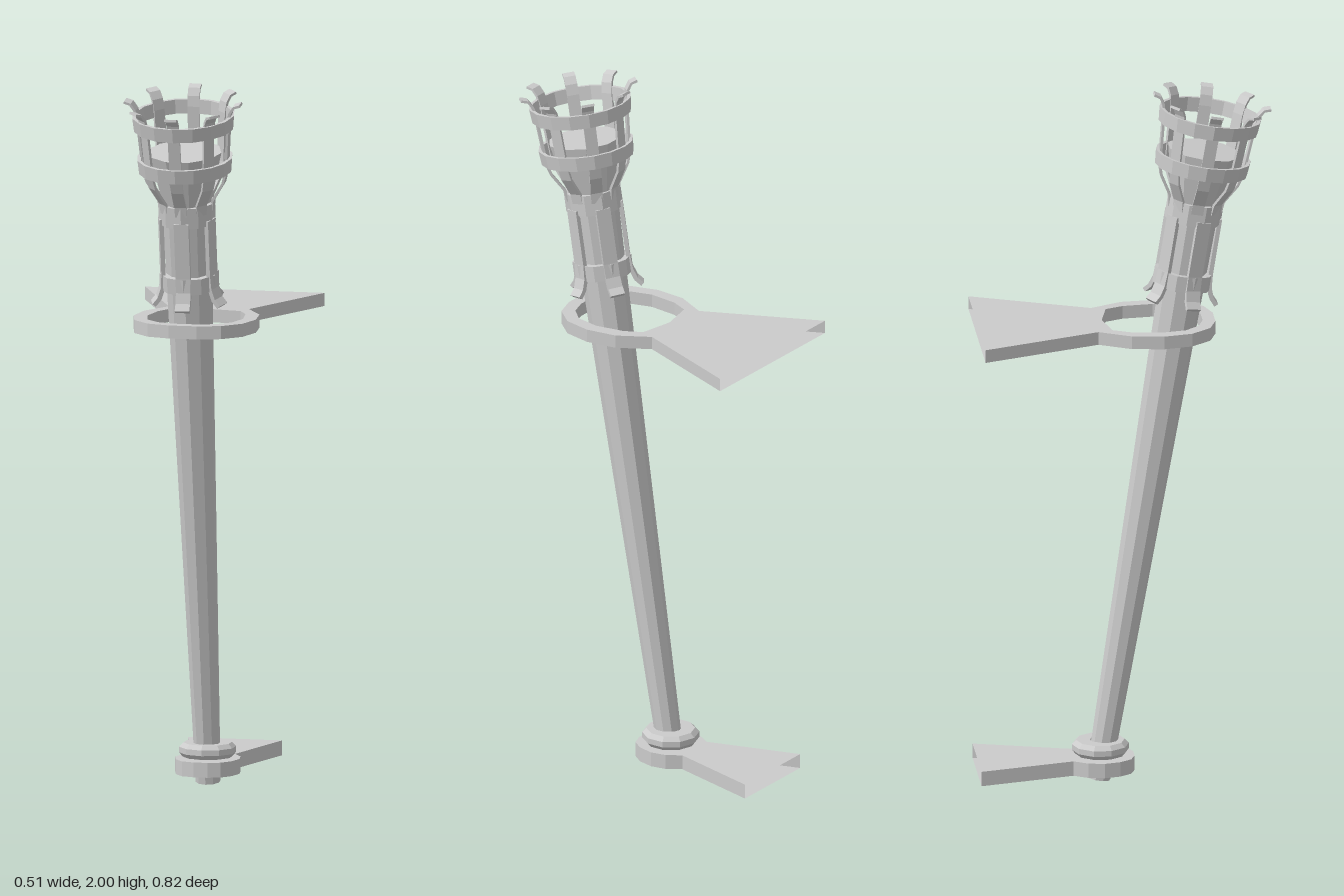
import * as THREE from 'three';

const mat = new THREE.MeshStandardMaterial({ color: 0xcccccc, flatShading: true, side: THREE.DoubleSide });

function add(parent, name, geometry) {
  const mesh = new THREE.Mesh(geometry, mat);
  mesh.name = name;
  parent.add(mesh);
  return mesh;
}

// Hoop with a rectangular section around the y axis
function hoop(rBottom, rTop, y, height, thick, sides) {
  const h = height / 2;
  const pts = [[rBottom - thick, y - h], [rBottom, y - h], [rTop, y + h], [rTop - thick, y + h], [rBottom - thick, y - h]];
  return new THREE.LatheGeometry(pts.map(p => new THREE.Vector2(...p)), sides);
}

// Bent flat strip that follows a [radius, height] profile, facing +z
function strap(profile, width, thick) {
  const pts = profile.map(p => new THREE.Vector2(...p));
  const inner = pts.map((p, i) => {
    const d = pts[Math.min(i + 1, pts.length - 1)].clone().sub(pts[Math.max(i - 1, 0)]).normalize();
    return new THREE.Vector2(p.x - d.y * thick, p.y + d.x * thick);
  });
  const geo = new THREE.ExtrudeGeometry(new THREE.Shape([...pts, ...inner.reverse()]), { depth: width, bevelEnabled: false });
  return geo.translate(0, 0, -width / 2).rotateY(-Math.PI / 2);
}

// Closed symmetric outline from its [x, z] half, back to front
function mirrored(half) {
  const right = half.map(([x, z]) => new THREE.Vector2(x, -z));
  const left = half.filter(p => p[0] > 0).map(([x, z]) => new THREE.Vector2(-x, -z)).reverse();
  return [...right, ...left];
}

// Horizontal wall plate with an eye; the end against the wall is open
function bracket(outer, hole, y, height) {
  const shape = new THREE.Shape(mirrored(outer));
  shape.holes.push(new THREE.Path(mirrored(hole)));
  const geo = new THREE.ExtrudeGeometry(shape, { depth: height, bevelEnabled: false })
    .rotateX(-Math.PI / 2).translate(0, y, 0);
  const src = geo.attributes.position, kept = [];
  for (let i = 0; i < src.count; i += 3) {
    if ([0, 1, 2].every(k => src.getZ(i + k) < -0.405)) continue;
    for (let k = 0; k < 3; k++) kept.push(src.getX(i + k), src.getY(i + k), src.getZ(i + k));
  }
  const open = new THREE.BufferGeometry();
  open.setAttribute('position', new THREE.Float32BufferAttribute(kept, 3));
  open.computeVertexNormals();
  return open;
}

export function createModel() {
  const model = new THREE.Group();
  model.name = 'wallTorch';

  // Everything on the leaning shaft
  const torch = new THREE.Group();
  torch.name = 'torch';
  torch.position.set(0, 0.007, -0.07);
  torch.rotation.x = THREE.MathUtils.degToRad(9.25);
  model.add(torch);

  add(torch, 'shaft', new THREE.CylinderGeometry(0.069, 0.035, 1.7, 10).translate(0, 0.85, 0));
  add(torch, 'head', new THREE.CylinderGeometry(0.105, 0.069, 0.15, 10).translate(0, 1.775, 0))
    .rotation.y = Math.PI / 10;

  // Collar: two bands joined by five straps with flared tails
  const collar = new THREE.Group();
  collar.name = 'collar';
  torch.add(collar);
  add(collar, 'lowerBand', hoop(0.083, 0.083, 1.475, 0.045, 0.02, 10));
  add(collar, 'upperBand', hoop(0.08, 0.08, 1.675, 0.06, 0.014, 10));
  const tail = strap([[0.108, 1.415], [0.093, 1.432], [0.083, 1.46], [0.08, 1.5], [0.08, 1.66]], 0.042, 0.012);
  for (let i = 0; i < 5; i++) add(collar, 'collarStrap', tail).rotation.y = i * Math.PI * 2 / 5;

  // Basket: two hoops and eight prongs that curl outward
  const basket = new THREE.Group();
  basket.name = 'basket';
  torch.add(basket);
  add(basket, 'lowerHoop', hoop(0.131, 0.135, 1.815, 0.04, 0.01, 16));
  add(basket, 'upperHoop', hoop(0.141, 0.145, 1.94, 0.04, 0.01, 16));
  const prong = strap([[0.076, 1.68], [0.08, 1.71], [0.112, 1.762], [0.122, 1.8], [0.133, 1.94],
    [0.139, 1.968], [0.15, 1.985], [0.167, 1.99]], 0.034, 0.007);
  for (let i = 0; i < 8; i++) add(basket, 'prong', prong).rotation.y = i * Math.PI / 4;

  // Wall brackets
  add(model, 'upperBracket', bracket(
    [[0.257, -0.41], [0.115, -0.08], [0.165, 0.01], [0.175, 0.1], [0.155, 0.18], [0.105, 0.235], [0.04, 0.255]],
    [[0, -0.06], [0.1, -0.04], [0.125, 0.01], [0.137, 0.095], [0.12, 0.165], [0.08, 0.205], [0.03, 0.22]],
    1.307, 0.037));
  add(model, 'lowerBracket', bracket(
    [[0.135, -0.41], [0.06, -0.145], [0.085, -0.105], [0.092, -0.06], [0.08, -0.015], [0.055, 0.018], [0.02, 0.03]],
    [[0.02, -0.116], [0.048, -0.088], [0.048, -0.048], [0.02, -0.02]],
    0.032, 0.042));

  // Seat ring the shaft drops into
  const seat = [[0.03, 0.078], [0.07, 0.078], [0.08, 0.09], [0.08, 0.106], [0.068, 0.118], [0.03, 0.118]];
  add(model, 'seatRing', new THREE.LatheGeometry(seat.map(p => new THREE.Vector2(...p)), 10).translate(0, 0, -0.064));

  return model;
}
